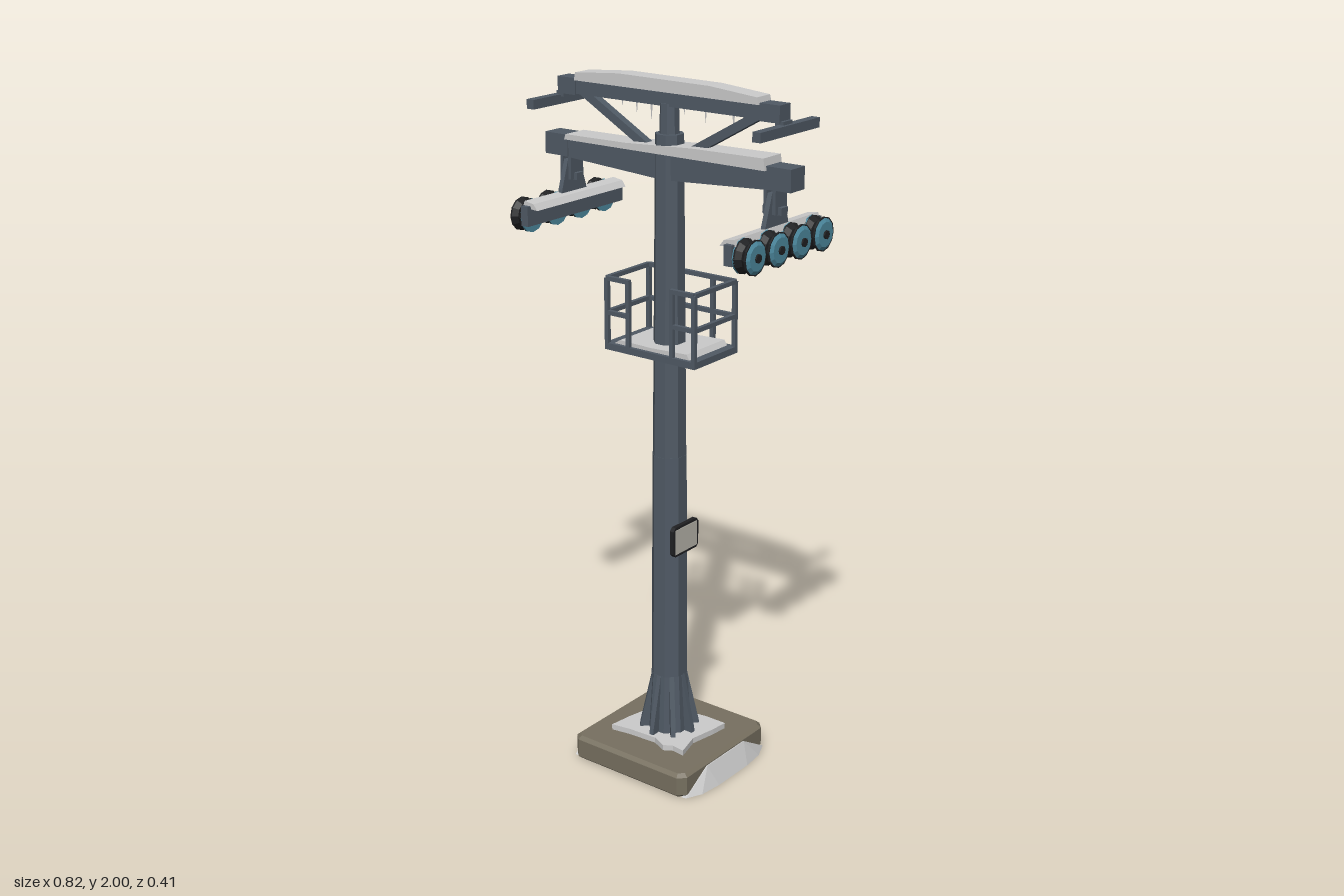
import * as THREE from 'three';
import { ConvexGeometry } from 'three/addons/geometries/ConvexGeometry.js';

const mat = (color) => new THREE.MeshStandardMaterial({ color, flatShading: true });

export function createModel() {
  const root = new THREE.Group();
  const steel = mat(0x505a65), concrete = mat(0x777060), snow = mat(0xcccccc);
  const dark = mat(0x202123), teal = mat(0x4d8aa0), plate = mat(0xbab8ae);

  const add = (name, geo, m, parent = root, pos = [0, 0, 0]) => {
    const mesh = new THREE.Mesh(geo, m);
    mesh.name = name;
    mesh.position.set(...pos);
    parent.add(mesh);
    return mesh;
  };
  // box given by its min and max corners
  const box = (name, m, x0, x1, y0, y1, z0, z1, parent = root) =>
    add(name, new THREE.BoxGeometry(x1 - x0, y1 - y0, z1 - z0), m, parent,
      [(x0 + x1) / 2, (y0 + y1) / 2, (z0 + z1) / 2]);
  // outline in the x-y plane, extruded symmetrically along z
  const slab = (name, m, pts, depth, parent = root) => {
    const shape = new THREE.Shape(pts.map(p => new THREE.Vector2(...p)));
    const g = new THREE.ExtrudeGeometry(shape, { depth, bevelEnabled: false });
    return add(name, g.translate(0, 0, -depth / 2), m, parent);
  };
  // square bar between two points
  const bar = (name, m, a, b, t, parent = root) => {
    const p = new THREE.Vector3(...a), q = new THREE.Vector3(...b);
    const mesh = add(name, new THREE.BoxGeometry(t, t, p.distanceTo(q)), m, parent);
    mesh.position.copy(p).add(q).multiplyScalar(0.5);
    mesh.lookAt(q);
    return mesh;
  };
  // octagonal mast section
  const mastPart = (name, r0, r1, y0, y1) => {
    const k = 1 / Math.cos(Math.PI / 8);
    const g = new THREE.CylinderGeometry(r1 * k, r0 * k, y1 - y0, 8).rotateY(Math.PI / 8);
    return add(name, g, steel, root, [0, (y0 + y1) / 2, 0]);
  };

  // Concrete footing with cut corners and a bevelled top
  const h = 0.193, c = 0.178;
  const foot = new THREE.Shape([[h, -c], [h, c], [c, h], [-c, h], [-h, c], [-h, -c], [-c, -h], [c, -h]]
    .map(p => new THREE.Vector2(...p)));
  add('footing', new THREE.ExtrudeGeometry(foot, {
    depth: 0.055, bevelThickness: 0.01, bevelSize: 0.011, bevelSegments: 1
  }).rotateX(-Math.PI / 2), concrete, root, [0, 0.01, 0]);

  // Snow drifts against both sides of the footing
  for (const [s, out] of [[1, 0.235], [-1, 0.222]]) {
    const pts = [];
    for (const e of [-1, 1]) {
      pts.push([0.19, 0, e * 0.19], [0.206, 0.002, e * 0.19], [out - 0.008, 0, e * 0.14],
        [out, 0, e * 0.07], [0.207, 0.062, e * 0.09], [0.19, 0.062, e * 0.09]);
    }
    add('snowDrift', new ConvexGeometry(pts.map(p => new THREE.Vector3(s * p[0], p[1], p[2]))), snow);
  }

  // Irregular snow patch around the mast foot
  const patch = [[-0.13, -0.11], [-0.07, -0.1], [0.02, -0.095], [0.065, -0.115], [0.09, -0.1], [0.13, -0.105],
    [0.11, -0.03], [0.125, 0.05], [0.13, 0.1], [0.06, 0.1], [0, 0.09], [-0.13, 0.12], [-0.105, 0.03], [-0.12, -0.04]];
  const patchGeo = new THREE.ExtrudeGeometry(new THREE.Shape(patch.map(p => new THREE.Vector2(...p))),
    { depth: 0.018, bevelEnabled: false }).rotateX(-Math.PI / 2);
  add('footSnow', patchGeo, snow, root, [0, 0.074, 0]);

  // Mast sections and flared foot gussets
  mastPart('mastFoot', 0.062, 0.05, 0.075, 0.27);
  mastPart('lowerMast', 0.05, 0.046, 0.2, 0.95);
  mastPart('upperMast', 0.045, 0.037, 0.95, 1.855);
  mastPart('mastHead', 0.026, 0.024, 1.85, 1.935);
  for (let i = 0; i < 8; i++) {
    slab('gusset', steel, [[0.03, 0.08], [0.09, 0.08], [0.085, 0.11], [0.05, 0.27], [0.03, 0.27]], 0.014)
      .rotation.y = i * Math.PI / 4;
  }

  // Framed plate on the mast
  const sign = new THREE.Group();
  sign.name = 'sign';
  root.add(sign);
  const a = 0.058, b = 0.045, k = 0.01;
  const frame = new THREE.Shape([[a, -b + k], [a, b - k], [a - k, b], [k - a, b], [-a, b - k], [-a, k - b], [k - a, -b], [a - k, -b]]
    .map(p => new THREE.Vector2(...p)));
  add('signFrame', new THREE.ExtrudeGeometry(frame, { depth: 0.013, bevelEnabled: false }).rotateY(Math.PI / 2),
    dark, sign, [0.046, 0.707, 0]);
  box('signPlate', plate, 0.055, 0.061, 0.67, 0.744, -0.05, 0.05, sign);

  // Work platform with railing, open at the front middle
  const deck = new THREE.Group();
  deck.name = 'platform';
  root.add(deck);
  const zf = 0.086, zb = -0.098, X = 0.149, t = 0.012, yt = 1.453, ym = 1.356;
  box('deckPlate', steel, -0.155, 0.155, 1.25, 1.269, -0.104, 0.092, deck);
  slab('deckSnow', snow, [[-0.13, 1.268], [0.13, 1.268], [0.12, 1.284], [0, 1.279], [-0.11, 1.281]], 0.172, deck)
    .position.z = -0.005;
  for (const s of [-1, 1]) {
    for (const [x, z] of [[X, zf], [X, zb], [0.075, zf], [0.075, zb]])
      bar('railPost', steel, [s * x, 1.26, z], [s * x, yt, z], t, deck);
    for (const y of [ym, yt]) {
      bar('sideRail', steel, [s * X, y, zb], [s * X, y, zf], t, deck);
      bar('frontRail', steel, [s * X, y, zf], [s * 0.07, y, zf], t, deck);
    }
  }
  for (const y of [ym, yt]) bar('backRail', steel, [-X, y, zb], [X, y, zb], t, deck);

  // Main crossarm, deeper toward the mast
  slab('mainArm', steel, [[-0.4, 1.757], [0, 1.733], [0.4, 1.757], [0.4, 1.805], [-0.4, 1.805]], 0.056);
  slab('mainArmSnow', snow, [[-0.335, 1.803], [0.335, 1.803], [0.33, 1.835], [0.1, 1.832], [-0.12, 1.82], [-0.33, 1.818]], 0.078);

  // Upper crossarm, its snow and icicles along the back
  box('upperArm', steel, -0.36, 0.36, 1.928, 1.968, -0.02, 0.02);
  slab('upperArmSnow', snow, [[-0.305, 1.966], [0.305, 1.966], [0.3, 1.985], [0.15, 1.998], [-0.15, 2], [-0.3, 1.988]], 0.058);
  [-0.18, -0.13, -0.08, 0.03, 0.1, 0.19].forEach((x, i) => {
    const len = 0.045 + 0.014 * (i % 3);
    add('icicle', new THREE.ConeGeometry(0.005, len, 5).rotateX(Math.PI), snow, root, [x, 1.945 - len / 2, -0.025]);
  });

  // Grooved wheel, axis along x
  const wheelGeo = new THREE.LatheGeometry([[0, -0.019], [0.047, -0.019], [0.047, -0.014], [0.036, 0], [0.047, 0.014],
    [0.047, 0.019], [0, 0.019]].map(p => new THREE.Vector2(...p)), 12).rotateZ(-Math.PI / 2);

  for (const s of [-1, 1]) {
    const sbox = (name, m, x0, x1, ...r) => box(name, m, Math.min(s * x0, s * x1), Math.max(s * x0, s * x1), ...r);
    // Arm ends, braces and rope guide bars
    sbox('mainArmEnd', steel, 0.33, 0.41, 1.755, 1.815, -0.031, 0.031);
    sbox('upperArmEnd', steel, 0.305, 0.367, 1.925, 1.971, -0.024, 0.024);
    sbox('guideBar', steel, 0.36, 0.385, 1.895, 1.921, -0.132, 0.132);
    sbox('guideBarMount', steel, 0.35, 0.376, 1.915, 1.93, -0.02, 0.02);
    bar('brace', steel, [s * 0.06, 1.805, 0], [s * 0.29, 1.935, 0], 0.024);

    // Hanger: two cheek plates, pin and tapered bracket
    const hanger = new THREE.Group();
    hanger.name = 'sheaveAssembly';
    root.add(hanger);
    for (const x of [0.328, 0.356]) sbox('hangerCheek', steel, x - 0.005, x + 0.005, 1.69, 1.765, -0.026, 0.026, hanger);
    sbox('hangerPin', steel, 0.312, 0.372, 1.688, 1.708, -0.014, 0.014, hanger);
    const bracket = slab('hangerBracket', steel,
      [[-0.055, 1.64], [0.055, 1.64], [0.05, 1.665], [0.024, 1.745], [-0.024, 1.745], [-0.05, 1.665]], 0.014, hanger);
    bracket.rotation.y = Math.PI / 2;
    bracket.position.x = s * 0.342;

    // Wheel beam with snow cover
    sbox('wheelBeam', steel, 0.328, 0.352, 1.59, 1.645, -0.203, 0.203, hanger);
    const cover = slab('wheelBeamSnow', snow, [[0.305, 1.635], [0.356, 1.64], [0.35, 1.657], [0.318, 1.652]]
      .map(([x, y]) => [s * x, y]), 0.38, hanger);
    cover.position.z = 0;

    // Four wheels with coloured discs and hubs
    for (let i = 0; i < 4; i++) {
      const z = -0.155 + i * 0.1033;
      add('wheel', wheelGeo, dark, hanger, [s * 0.374, 1.61, z]);
      const disc = new THREE.CylinderGeometry(0.034, 0.047, 0.008, 12).rotateZ(-s * Math.PI / 2);
      add('wheelDisc', disc, teal, hanger, [s * 0.395, 1.61, z]);
      const inner = new THREE.CylinderGeometry(0.047, 0.047, 0.006, 12).rotateZ(Math.PI / 2);
      add('wheelBack', inner, teal, hanger, [s * 0.355, 1.61, z]);
      const hub = new THREE.CylinderGeometry(0.012, 0.012, 0.068, 8).rotateZ(Math.PI / 2);
      add('hub', hub, dark, hanger, [s * 0.37, 1.61, z]);
    }
  }
  return root;
}
